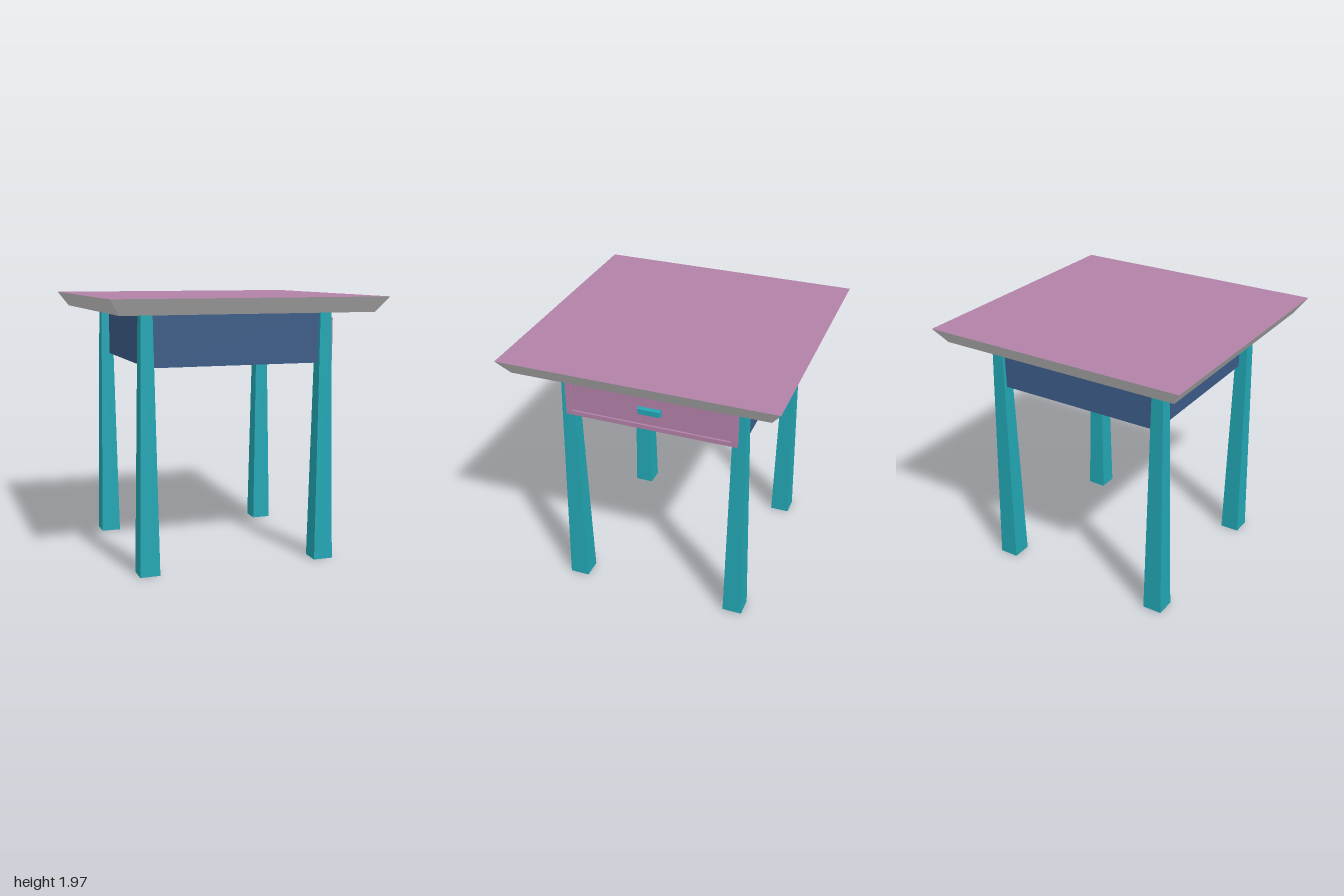
import * as THREE from 'three';

const mat = (color) => new THREE.MeshStandardMaterial({ color });
const teal = mat(0x22a6b3), mauve = mat(0xb282a8), blue = mat(0x3c5c88), grey = mat(0xcccccc);

// Box with its base at y = 0 whose top face is scaled about the centre.
function taperedBox(w, h, d, topScaleX, topScaleZ = topScaleX) {
  const geo = new THREE.BoxGeometry(w, h, d).translate(0, h / 2, 0);
  const p = geo.attributes.position;
  for (let i = 0; i < p.count; i++) {
    if (p.getY(i) > h / 2) {
      p.setX(i, p.getX(i) * topScaleX);
      p.setZ(i, p.getZ(i) * topScaleZ);
    }
  }
  geo.computeVertexNormals();
  return geo;
}

function add(parent, name, geo, material, x, y, z) {
  const mesh = new THREE.Mesh(geo, material);
  mesh.name = name;
  mesh.position.set(x, y, z);
  parent.add(mesh);
  return mesh;
}

function createDrawer() {
  const drawer = new THREE.Group();
  drawer.name = 'drawer';
  const w = 1.27, h = 0.315;

  // Raised rim around a sunken panel
  const rect = (path, hw, hh) => path.moveTo(-hw, -hh).lineTo(hw, -hh).lineTo(hw, hh).lineTo(-hw, hh).closePath();
  const rim = rect(new THREE.Shape(), w / 2, h / 2);
  rim.holes.push(rect(new THREE.Path(), w / 2 - 0.043, h / 2 - 0.033));
  const rimGeo = new THREE.ExtrudeGeometry(rim, { depth: 0.025, bevelEnabled: false });
  rimGeo.rotateY(Math.PI / 2);
  add(drawer, 'drawerRim', rimGeo, mauve, 0.72, 0, 0);
  add(drawer, 'drawerPanel', new THREE.BoxGeometry(0.08, h, w), mauve, 0.69, 0, 0);

  // Handle with chamfered face
  const stem = new THREE.BoxGeometry(0.02, 0.05, 0.17);
  add(drawer, 'handleBase', stem, teal, 0.738, 0, 0);
  const grip = taperedBox(0.05, 0.012, 0.17, 0.8, 0.94).rotateZ(-Math.PI / 2);
  add(drawer, 'handleGrip', grip, teal, 0.748, 0, 0);

  drawer.position.set(0, 1.6475, -0.015);
  drawer.children.filter((c) => c.name.startsWith('handle')).forEach((c) => c.position.y -= 0.012);
  return drawer;
}

export function createModel() {
  const table = new THREE.Group();
  table.name = 'sideTable';

  // Flared top: grey edges and underside, coloured upper face
  add(table, 'tableTop', taperedBox(1.85, 0.11, 1.85, 2 / 1.85),
    [grey, grey, mauve, grey, grey, grey], 0, 1.858, 0);

  // Drawer case
  add(table, 'apron', new THREE.BoxGeometry(1.31, 0.38, 1.31), blue, 0, 1.67, -0.02);

  // Four legs, thicker at the foot
  for (const sx of [-1, 1]) {
    for (const sz of [-1, 1]) {
      add(table, 'leg', taperedBox(0.147, 1.86, 0.147, 0.58), teal, sx * 0.672, 0, sz * 0.635 - 0.02);
    }
  }

  table.add(createDrawer());
  return table;
}
